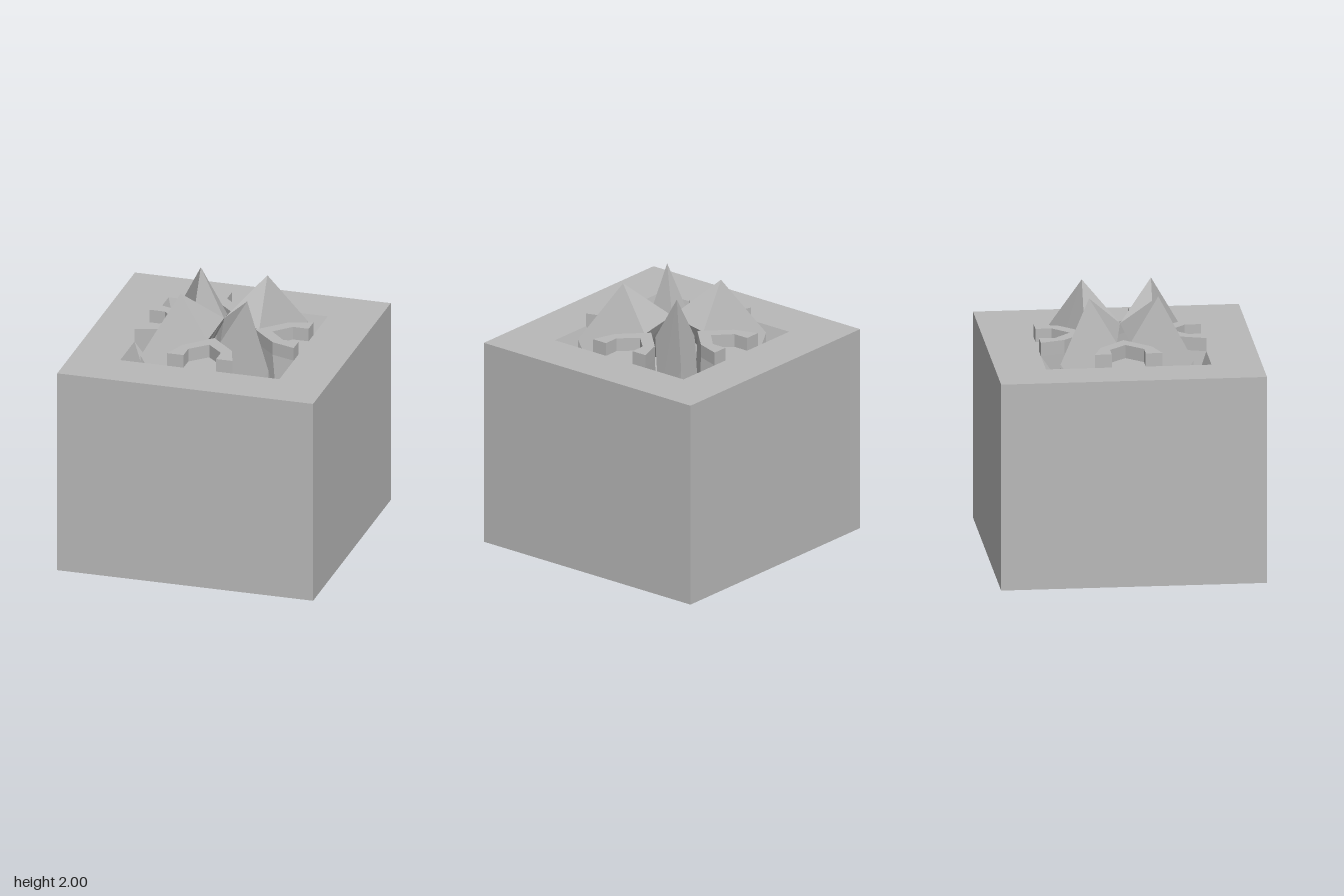
import * as THREE from 'three';

const HALF = 0.98, TOP = 1.57, FLOOR = 1.22;

const stone = new THREE.MeshStandardMaterial({ color: 0xb8b8b8, side: THREE.DoubleSide });
stone.name = 'grey';

function part(name, geometry, y = 0) {
  const mesh = new THREE.Mesh(geometry, stone);
  mesh.name = name;
  mesh.position.y = y;
  return mesh;
}

// Flat-shaded geometry from triangles and quads of [x, y, z] corners
function faces(list) {
  const out = [];
  for (const f of list) {
    for (let i = 1; i < f.length - 1; i++) out.push(...f[0], ...f[i], ...f[i + 1]);
  }
  const g = new THREE.BufferGeometry();
  g.setAttribute('position', new THREE.Float32BufferAttribute(out, 3));
  g.computeVertexNormals();
  return g;
}

// Repeat one side's [x, z] points around all four sides
function ring(side) {
  const pts = [];
  let cur = side;
  for (let i = 0; i < 4; i++) {
    pts.push(...cur);
    cur = cur.map(([x, z]) => [-z, x]);
  }
  return pts;
}

const planPoints = (pts) => pts.map(([x, z]) => new THREE.Vector2(x, -z));
const lay = (g) => g.rotateX(-Math.PI / 2);

export function createModel() {
  const model = new THREE.Group();
  model.name = 'spikedBlock';

  const rim = ring([[0.61, 0.61], [0.25, 0.61], [0.19, 0.43], [0, 0.24], [-0.19, 0.43], [-0.25, 0.61]]);
  const foot = ring([[0.49, 0.49], [0.28, 0.49], [0.17, 0.38], [0, 0.21], [-0.17, 0.38], [-0.28, 0.49]]);

  // Block sides and underside, leaving out the box's top face
  const box = new THREE.BoxGeometry(HALF * 2, TOP, HALF * 2);
  const index = Array.from(box.index.array);
  index.splice(12, 6);
  box.setIndex(index);
  box.clearGroups();
  model.add(part('blockSides', box, TOP / 2));

  // Top face with the cross-shaped pit cut out
  const topShape = new THREE.Shape(planPoints(ring([[HALF, HALF]])));
  topShape.holes.push(new THREE.Path(planPoints(rim)));
  model.add(part('blockTop', lay(new THREE.ShapeGeometry(topShape)), TOP));

  // Sloping pit walls and floor
  const walls = rim.map(([x, z], i) => {
    const j = (i + 1) % rim.length;
    return [
      [x, TOP, z], [rim[j][0], TOP, rim[j][1]],
      [foot[j][0], FLOOR, foot[j][1]], [foot[i][0], FLOOR, foot[i][1]],
    ];
  });
  model.add(part('pitWalls', faces(walls)));
  model.add(part('pitFloor', lay(new THREE.ShapeGeometry(new THREE.Shape(planPoints(foot)))), FLOOR));

  // Raised forked kerb, one on each side of the pit
  const kerb = lay(new THREE.ExtrudeGeometry(new THREE.Shape(planPoints([
    [0.25, 0.61], [0.19, 0.43], [0, 0.24], [-0.19, 0.43], [-0.25, 0.61],
    [-0.125, 0.61], [-0.125, 0.49], [0, 0.37], [0.125, 0.49], [0.125, 0.61],
  ])), { depth: 0.1, bevelEnabled: false }));

  // Spike leaning over the pit, its inner tip meeting the others in the middle
  const peak = [0.255, 2, 0.255], toe = [0.49, TOP, 0.49], heel = [0.49, FLOOR, 0.49];
  const tip = [0, 1.73, 0], back = [0.28, FLOOR, 0.28];
  const edgeA = [0.05, 1.65, 0.255], edgeB = [0.255, 1.65, 0.05];
  const baseA = [0.28, FLOOR, 0.49], baseB = [0.49, FLOOR, 0.28];
  const spike = faces([
    [peak, edgeA, baseA, toe], [peak, toe, baseB, edgeB],
    [peak, tip, edgeA], [peak, edgeB, tip],
    [toe, baseA, heel], [toe, heel, baseB],
    [tip, back, baseA, edgeA], [tip, edgeB, baseB, back],
  ]);

  for (let i = 0; i < 4; i++) {
    const k = part('kerb', kerb, TOP);
    const s = part('spike', spike);
    k.rotation.y = s.rotation.y = (i * Math.PI) / 2;
    model.add(k, s);
  }
  return model;
}
